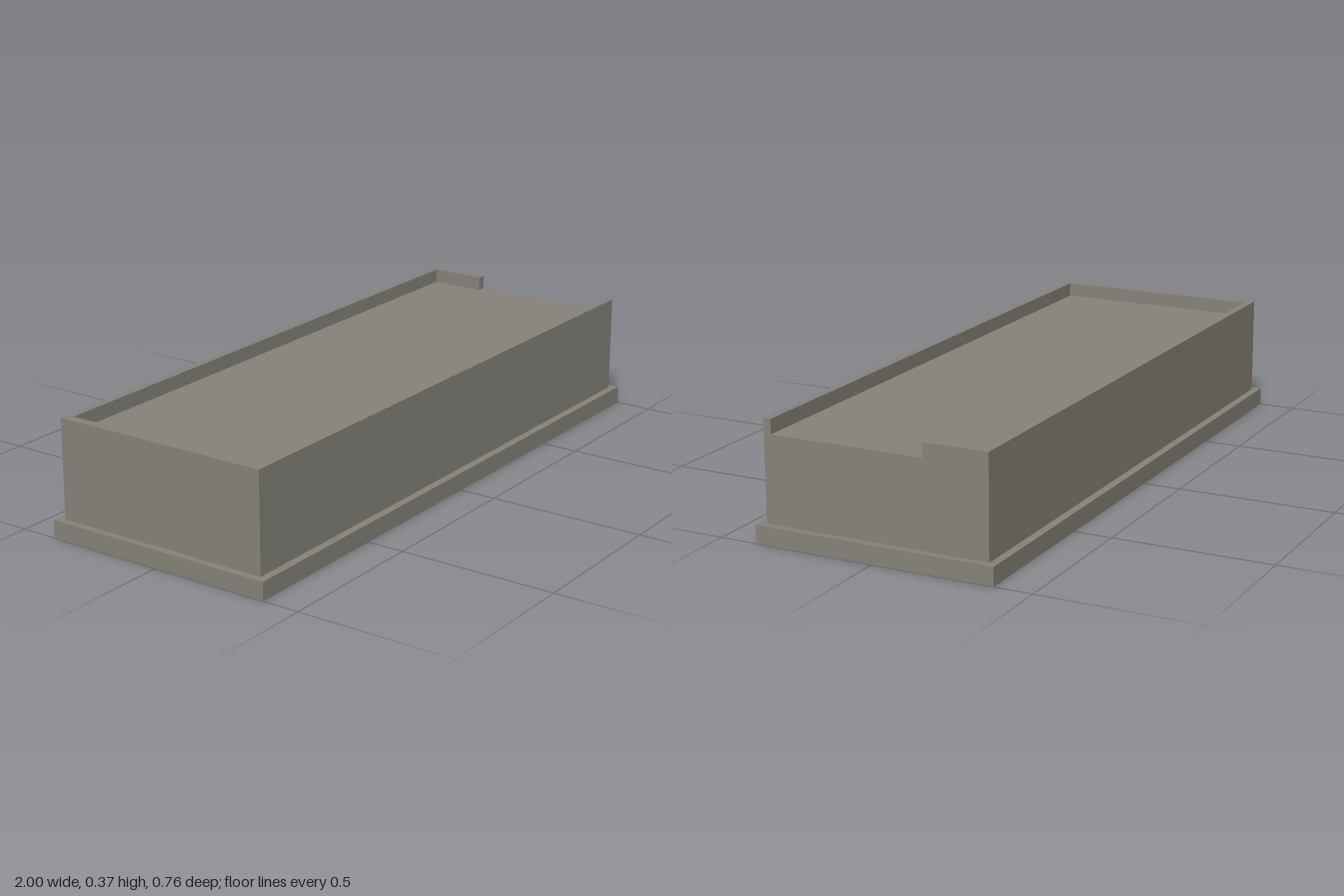
import * as THREE from 'three';

export function createModel() {
  const model = new THREE.Group();
  const stone = new THREE.MeshStandardMaterial({ color: 0x87837a });
  stone.name = 'warmGrey';

  const baseTop = 0.057, floorY = 0.325, top = 0.37;
  const outX = 0.977, outZ = 0.357, inX = 0.948, inZ = 0.333;
  const gapBack = -0.154; // rear end of the opening in the left wall

  function add(name, geometry, y) {
    const mesh = new THREE.Mesh(geometry, stone);
    mesh.name = name;
    mesh.position.y = y;
    model.add(mesh);
  }

  // Wider plinth and the solid body on it
  add('plinth', new THREE.BoxGeometry(2, baseTop, 0.764), baseTop / 2);
  add('body', new THREE.BoxGeometry(outX * 2, floorY - baseTop, outZ * 2), (floorY + baseTop) / 2);

  // Raised rim around the top, open along most of the left end (plan as x, -z)
  const plan = [
    [outX, -outZ], [outX, -inZ], [-inX, -inZ], [-inX, inZ], [inX, inZ],
    [inX, -gapBack], [outX, -gapBack], [outX, outZ], [-outX, outZ], [-outX, -outZ],
  ].map(([x, y]) => new THREE.Vector2(x, y));
  const rim = new THREE.ExtrudeGeometry(new THREE.Shape(plan), { depth: top - floorY, bevelEnabled: false });
  rim.rotateX(-Math.PI / 2);
  add('rim', rim, floorY);

  return model;
}
